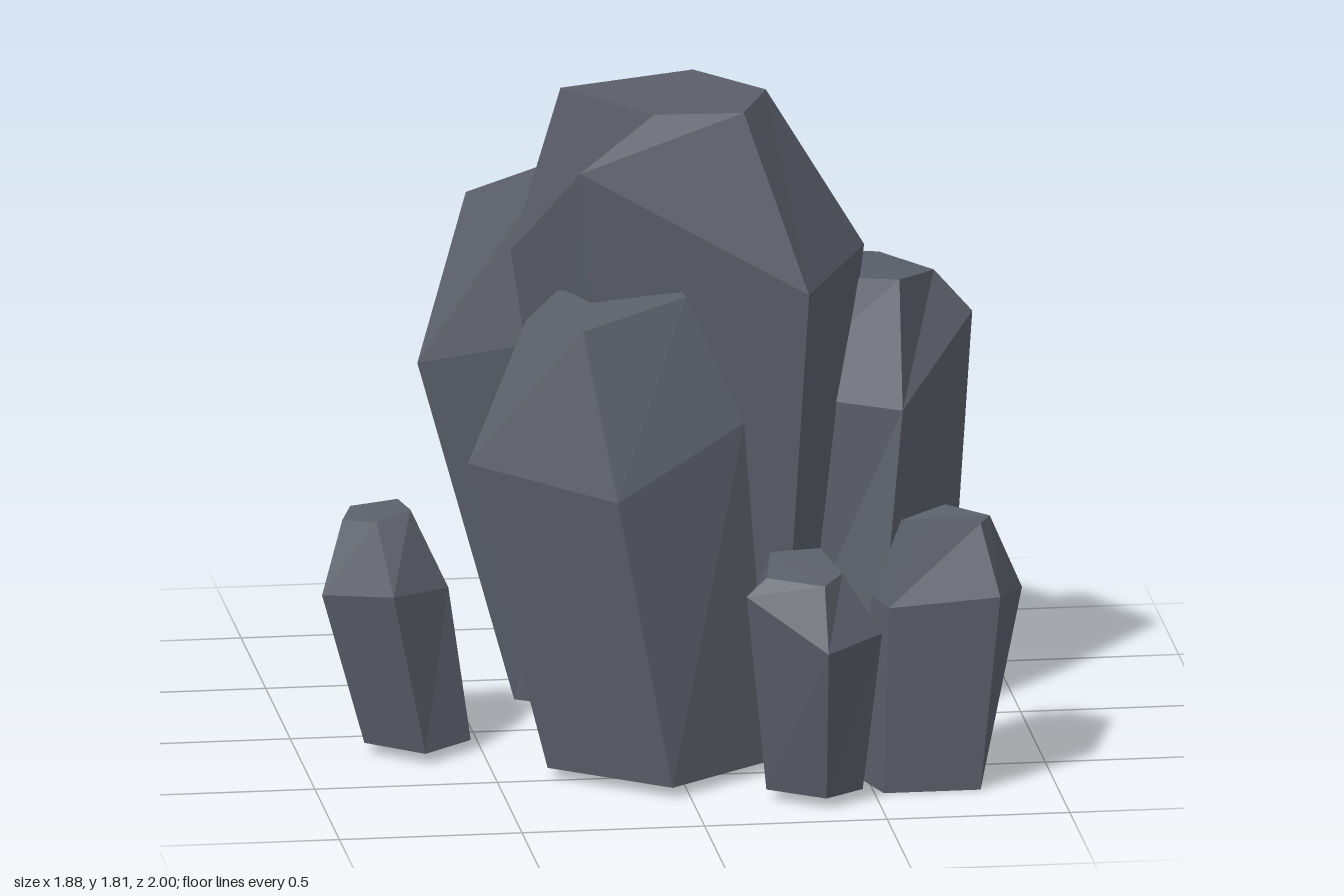
import * as THREE from 'three';

const stone = new THREE.MeshStandardMaterial({ color: 0x5b5f6a });
stone.name = 'slate stone';

// A five-sided crystal lofted through a base, shoulder and top ring, with a hollowed underside.
// Rings run clockwise seen from above and their corners match by index.
function crystal(name, baseY, hollow, base, shoulder, top) {
  const foot = base.map(([x, z]) => [x, baseY, z]);
  const n = base.length;
  const cx = base.reduce((s, p) => s + p[0], 0) / n;
  const cz = base.reduce((s, p) => s + p[1], 0) / n;
  const inner = base.map(([x, z]) => [cx + (x - cx) * 0.6, baseY + hollow, cz + (z - cz) * 0.6]);
  const rings = [inner, foot, shoulder, top];
  const faces = [];
  for (let r = 0; r < rings.length - 1; r++) {
    const low = rings[r], high = rings[r + 1];
    for (let i = 0; i < n; i++) {
      const j = (i + 1) % n;
      faces.push(low[i], high[i], low[j], high[i], high[j], low[j]);
    }
  }
  // Close both ends
  for (let i = 1; i < n - 1; i++) {
    faces.push(inner[0], inner[i], inner[i + 1], top[0], top[i + 1], top[i]);
  }
  const geometry = new THREE.BufferGeometry();
  geometry.setAttribute('position', new THREE.Float32BufferAttribute(faces.flat(), 3));
  geometry.computeVertexNormals();
  const mesh = new THREE.Mesh(geometry, stone);
  mesh.name = name;
  return mesh;
}

export function createModel() {
  const group = new THREE.Group();
  group.name = 'rockCluster';
  group.add(
    // Tall centre crystal
    crystal('centreCrystal', 0.03, 0.1,
      [[-0.2, 0.03], [0.12, -0.18], [0.4, 0.04], [0.29, 0.38], [-0.12, 0.3]],
      [[-0.39, 1.34, -0.05], [0.11, 1.23, -0.34], [0.57, 1.34, 0.01], [0.355, 1.34, 0.49], [-0.26, 1.68, 0.4]],
      [[-0.26, 1.81, 0], [0.12, 1.81, -0.13], [0.29, 1.81, 0.09], [0.2, 1.81, 0.31], [-0.045, 1.81, 0.3]]),

    // Three large crystals leaning out around it
    crystal('backCrystal', 0.03, 0.1,
      [[-0.2, -0.56], [0.22, -0.53], [0.26, -0.3], [-0.05, 0], [-0.36, -0.2]],
      [[-0.38, 1.32, -0.655], [0.09, 1.11, -0.605], [0.14, 1.12, -0.25], [-0.15, 1.12, 0.02], [-0.63, 1, -0.165]],
      [[-0.31, 1.44, -0.46], [-0.065, 1.5, -0.52], [-0.08, 1.5, -0.17], [-0.34, 1.45, -0.1], [-0.475, 1.43, -0.33]]),
    crystal('rightCrystal', 0.03, 0.1,
      [[0.56, 0.27], [0.3, 0.05], [0.3, -0.3], [0.6, -0.32], [0.8, -0.03]],
      [[0.65, 0.92, 0.2], [0.3, 0.95, 0.08], [0.23, 0.95, -0.41], [0.61, 0.84, -0.505], [0.885, 1.1, -0.13]],
      [[0.66, 1.25, 0.06], [0.42, 1.25, 0], [0.4, 1.24, -0.32], [0.66, 1.21, -0.36], [0.78, 1.22, -0.13]]),
    crystal('frontCrystal', 0.03, 0.1,
      [[-0.28, 0.2], [0.15, 0.2], [0.25, 0.49], [-0.05, 0.72], [-0.36, 0.48]],
      [[-0.41, 1.08, 0.105], [0.1, 1.08, 0.18], [0.17, 1, 0.54], [-0.205, 0.85, 0.76], [-0.58, 0.9, 0.49]],
      [[-0.3, 1.3, 0.22], [0, 1.34, 0.25], [0.02, 1.345, 0.48], [-0.28, 1.295, 0.61], [-0.41, 1.28, 0.42]]),

    // Four small crystals standing apart
    crystal('smallLeftCrystal', 0.03, 0.045,
      [[-0.77, 0.03], [-0.6, 0.03], [-0.53, 0.18], [-0.67, 0.3], [-0.82, 0.17]],
      [[-0.87, 0.5, 0], [-0.67, 0.5, -0.02], [-0.59, 0.46, 0.17], [-0.765, 0.49, 0.355], [-0.94, 0.46, 0.2]],
      [[-0.84, 0.66, 0.03], [-0.71, 0.675, 0.03], [-0.69, 0.675, 0.14], [-0.79, 0.66, 0.2], [-0.875, 0.65, 0.13]]),
    crystal('smallRightCrystal', 0, 0.045,
      [[0.47, 0.56], [0.66, 0.42], [0.8, 0.5], [0.79, 0.745], [0.525, 0.745]],
      [[0.52, 0.5, 0.54], [0.75, 0.53, 0.355], [0.935, 0.5, 0.51], [0.84, 0.55, 0.775], [0.535, 0.53, 0.775]],
      [[0.6, 0.71, 0.54], [0.73, 0.73, 0.47], [0.84, 0.72, 0.56], [0.8, 0.73, 0.67], [0.65, 0.745, 0.68]]),
    crystal('smallFrontCrystal', 0.03, 0.045,
      [[0.27, 0.6], [0.45, 0.6], [0.46, 0.8], [0.35, 0.88], [0.2, 0.77]],
      [[0.2, 0.57, 0.62], [0.4, 0.55, 0.58], [0.505, 0.485, 0.86], [0.34, 0.47, 1], [0.135, 0.6, 0.855]],
      [[0.22, 0.68, 0.7], [0.36, 0.68, 0.68], [0.4, 0.65, 0.83], [0.34, 0.64, 0.92], [0.19, 0.65, 0.85]]),
    crystal('smallBackCrystal', 0.03, 0.045,
      [[0.25, -0.83], [0.38, -0.89], [0.55, -0.765], [0.44, -0.6], [0.26, -0.62]],
      [[0.23, 0.49, -0.93], [0.43, 0.46, -1], [0.59, 0.49, -0.83], [0.46, 0.5, -0.635], [0.25, 0.5, -0.66]],
      [[0.3, 0.65, -0.88], [0.43, 0.65, -0.92], [0.53, 0.66, -0.82], [0.45, 0.67, -0.71], [0.3, 0.67, -0.74]]),
  );
  return group;
}
